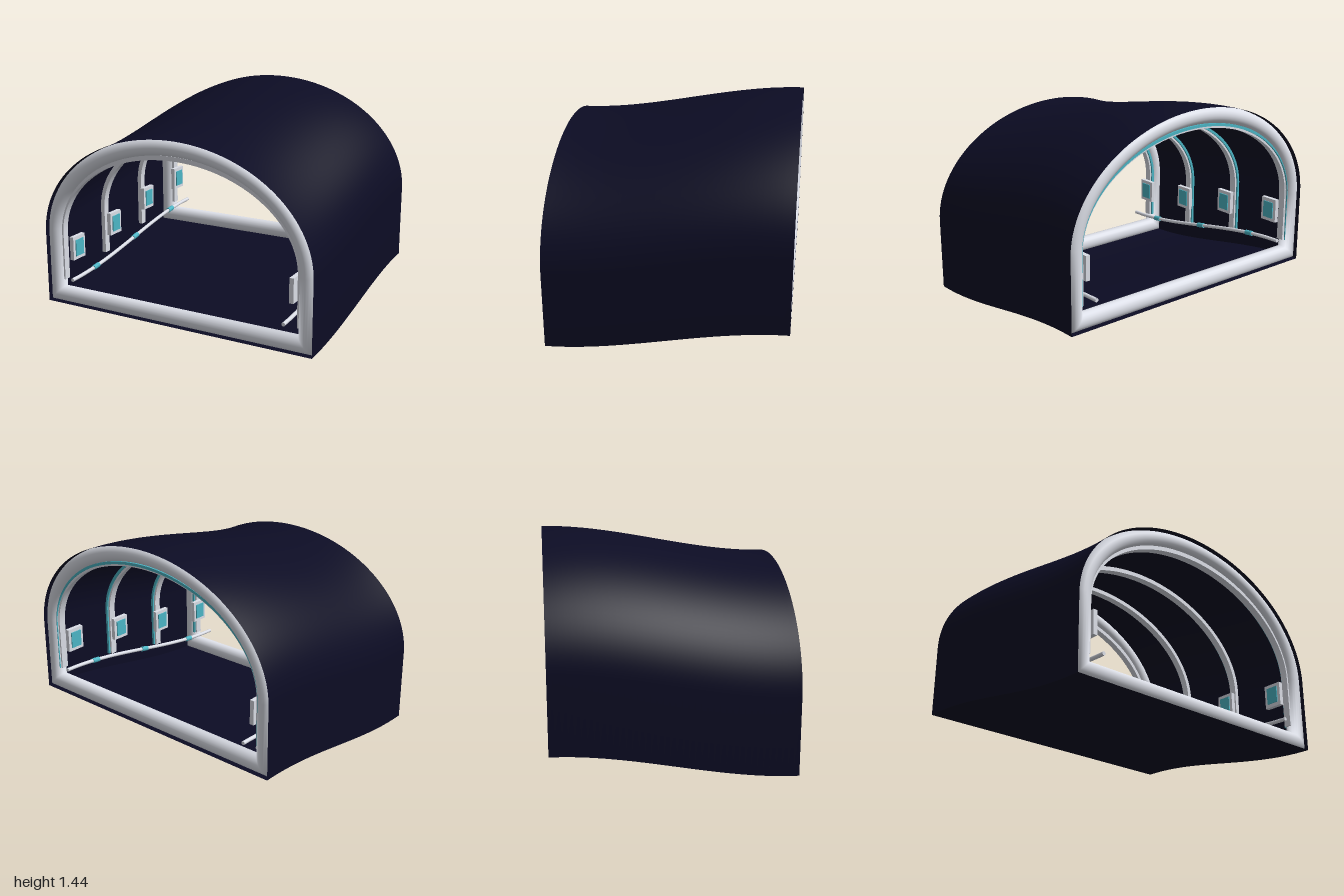
import * as THREE from 'three';
import { toCreasedNormals } from 'three/addons/utils/BufferGeometryUtils.js';

const HALF = 0.783;   // half length of the tunnel
const RISE = 0.2;     // how far the back end is lifted

const material = (name, color, side = THREE.FrontSide) => {
  const m = new THREE.MeshStandardMaterial({ color, side });
  m.name = name;
  return m;
};

// Floor height along the tunnel: an eased ramp from front to back
const rise = (z) => RISE * THREE.MathUtils.smoothstep(-z, -HALF, HALF);

// Straight walls topped by a half ellipse, from the +x foot over to the -x foot
function archPath(halfWidth, base, spring, top, steps = 64) {
  const path = [new THREE.Vector2(halfWidth, base)];
  for (let i = 0; i <= steps; i++) {
    const a = (i / steps) * Math.PI;
    path.push(new THREE.Vector2(halfWidth * Math.cos(a), spring + (top - spring) * Math.sin(a)));
  }
  path.push(new THREE.Vector2(-halfWidth, base));
  return path;
}

// Sweep a section of [inward offset, z] points along a path, with mitred corners
function sweep(path, section, closed) {
  const n = path.length, k = section.length;
  const normal = (a, b) => {
    const d = b.clone().sub(a).normalize();
    return new THREE.Vector2(-d.y, d.x);
  };
  const pos = [], index = [];
  path.forEach((p, i) => {
    const before = closed || i > 0 ? normal(path[(i + n - 1) % n], p) : null;
    const after = closed || i < n - 1 ? normal(p, path[(i + 1) % n]) : null;
    const n1 = before || after, n2 = after || before;
    const mitre = n1.clone().add(n2).divideScalar(1 + n1.dot(n2));
    for (const [u, z] of section) pos.push(p.x + mitre.x * u, p.y + mitre.y * u, z);
  });
  for (let i = 0; i < (closed ? n : n - 1); i++) {
    for (let j = 0; j < k; j++) {
      const a = i * k + j, b = i * k + (j + 1) % k;
      const c = ((i + 1) % n) * k + (j + 1) % k, d = ((i + 1) % n) * k + j;
      index.push(a, b, c, a, c, d);
    }
  }
  if (!closed) {
    const e = (n - 1) * k;
    for (let j = 1; j < k - 1; j++) index.push(0, j + 1, j, e, e + j, e + j + 1);
  }
  const geo = new THREE.BufferGeometry();
  geo.setAttribute('position', new THREE.Float32BufferAttribute(pos, 3));
  geo.setIndex(index);
  geo.computeVertexNormals();
  return geo;
}

// Closed thin shell lofted along the ramp
function shellGeometry(path, steps = 40) {
  const n = path.length, pos = [], index = [];
  for (let s = 0; s <= steps; s++) {
    const z = HALF - (2 * HALF * s) / steps;
    for (const p of path) pos.push(p.x, p.y + rise(z), z);
  }
  for (let s = 0; s < steps; s++) {
    for (let i = 0; i < n; i++) {
      const a = s * n + i, b = s * n + (i + 1) % n;
      index.push(a, b + n, b, a, a + n, b + n);
    }
  }
  const geo = new THREE.BufferGeometry();
  geo.setAttribute('position', new THREE.Float32BufferAttribute(pos, 3));
  geo.setIndex(index);
  return toCreasedNormals(geo, 0.6);
}

const boxSection = (u, z, w, d) => [
  [u - w / 2, z - d / 2], [u + w / 2, z - d / 2], [u + w / 2, z + d / 2], [u - w / 2, z + d / 2],
];

export function createModel() {
  const navy = material('navy', 0x0c0c24, THREE.DoubleSide);
  const white = material('white', 0xe2e5ee);
  const cyan = material('cyan', 0x4cb6c6);

  const model = new THREE.Group();
  model.name = 'tunnel';
  const add = (parent, name, geo, mat, x = 0, y = 0, z = 0) => {
    const mesh = new THREE.Mesh(geo, mat);
    mesh.name = name;
    mesh.position.set(x, y, z);
    parent.add(mesh);
    return mesh;
  };

  // Outer shell with floor
  const outline = archPath(1, 0, 0.5, 1.243);
  add(model, 'shell', shellGeometry(outline), navy);

  // Round frames just inside both ends
  const r = 0.055, tube = [];
  for (let i = 0; i < 20; i++) {
    const a = (i / 20) * Math.PI * 2;
    tube.push([r + 0.001 + r * Math.cos(a), r * Math.sin(a)]);
  }
  const frame = sweep(outline, tube, true);
  for (const [name, z] of [['frontFrame', HALF - r], ['backFrame', r - HALF]]) {
    add(model, name, frame, white, 0, rise(Math.sign(z) * HALF), z);
  }

  // Arched ribs, each with a light strip on its rear outer edge
  const ribPath = archPath(0.895, 0.16, 0.5, 1.118);
  const rib = toCreasedNormals(sweep(ribPath, boxSection(0, 0, 0.03, 0.05), false), 0.6);
  const strip = toCreasedNormals(sweep(ribPath, boxSection(-0.008, -0.03, 0.018, 0.014), false), 0.6);
  for (let i = 0; i < 4; i++) {
    const z = 0.72 - 0.48 * i;
    add(model, 'rib', rib, white, 0, rise(z), z);
    add(model, 'ribLight', strip, cyan, 0, rise(z), z);
  }

  // Wall panels and handrails on both sides
  const panelBox = new THREE.BoxGeometry(0.03, 0.165, 0.13);
  const screenBox = new THREE.BoxGeometry(0.008, 0.115, 0.085);
  const collar = new THREE.CylinderGeometry(0.018, 0.018, 0.06, 16).rotateX(Math.PI / 2);
  for (const side of [1, -1]) {
    const wall = new THREE.Group();
    wall.name = side > 0 ? 'leftWallFittings' : 'rightWallFittings';
    model.add(wall);

    for (let i = 0; i < 4; i++) {
      const z = 0.66 - 0.44 * i, y = 0.383 + rise(z);
      add(wall, 'panel', panelBox, white, side * 0.83, y, z);
      add(wall, 'screen', screenBox, cyan, side * 0.812, y, z);
    }

    const points = [];
    for (let i = 0; i <= 16; i++) {
      const z = 0.77 - (1.54 * i) / 16;
      points.push(new THREE.Vector3(side * 0.8, 0.178 + rise(z), z));
    }
    const curve = new THREE.CatmullRomCurve3(points);
    add(wall, 'handrail', new THREE.TubeGeometry(curve, 48, 0.013, 12), white);
    add(wall, 'railFrontEnd', new THREE.CircleGeometry(0.013, 12), white, side * 0.8, points[0].y, 0.77);
    add(wall, 'railBackEnd', new THREE.CircleGeometry(0.013, 12).rotateY(Math.PI), white, side * 0.8, points[16].y, -0.77);
    for (const z of [0.5, 0, -0.5]) {
      const slope = (rise(z + 0.01) - rise(z - 0.01)) / 0.02;
      add(wall, 'railCollar', collar, cyan, side * 0.8, 0.178 + rise(z), z).rotation.x = -Math.atan(slope);
    }
  }
  return model;
}
